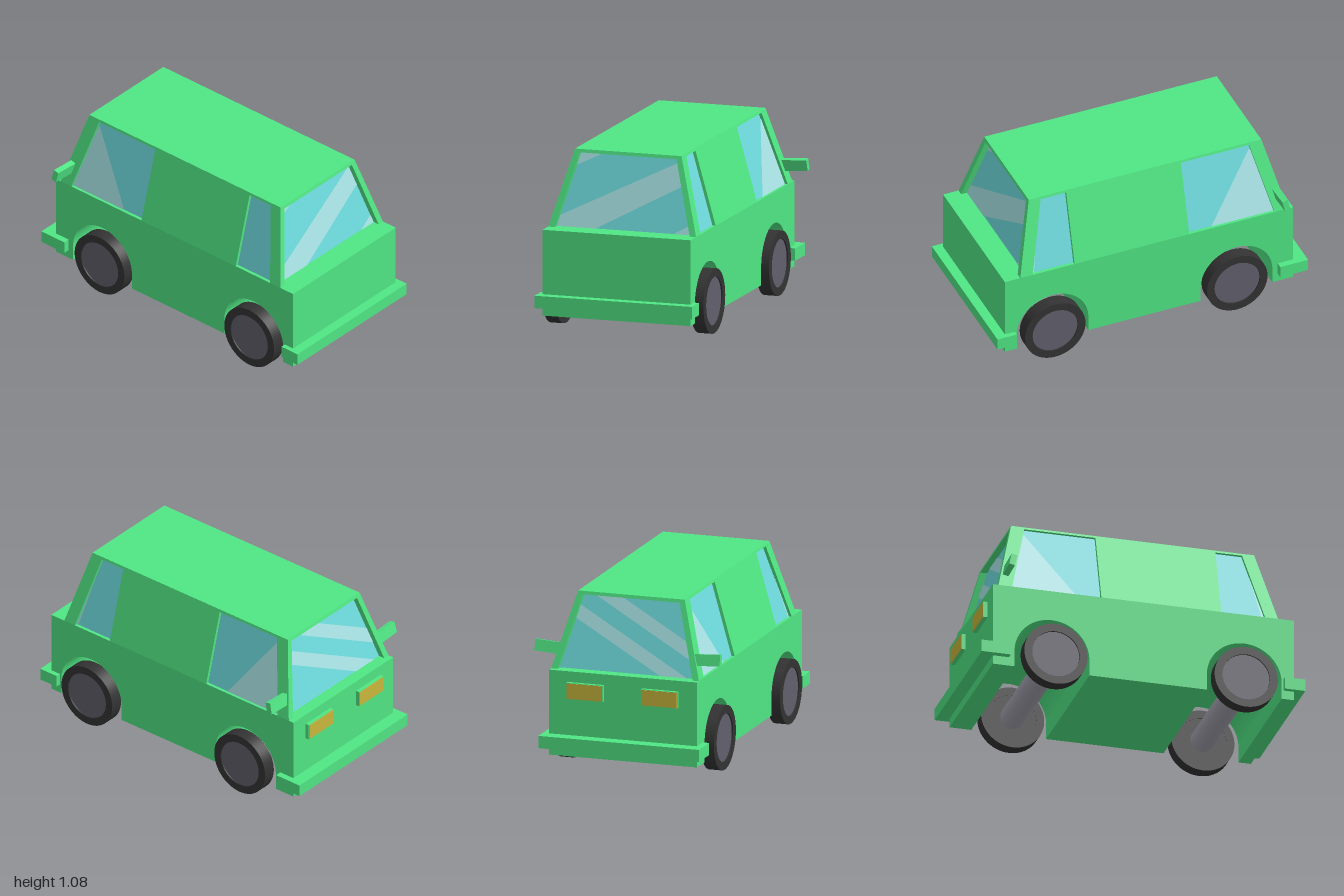
import * as THREE from 'three';

const material = (name, color) => {
  const m = new THREE.MeshStandardMaterial({ color });
  m.name = name;
  return m;
};

export function createModel() {
  const van = new THREE.Group();
  van.name = 'van';

  const green = material('body green', 0x50e684);
  const glass = material('window teal', 0x6edbde);
  const glare = material('window glare', 0xabe7e9);
  const rubber = material('tyre black', 0x333333);
  const hubGrey = material('hub grey', 0x625f6b);
  const axleGrey = material('axle grey', 0xa6a3b0);
  const amber = material('headlight amber', 0xcbb83c);
  glass.side = glare.side = THREE.DoubleSide;

  const add = (name, geometry, mat, x = 0, y = 0, z = 0, parent = van) => {
    const mesh = new THREE.Mesh(geometry, mat);
    mesh.name = name;
    mesh.position.set(x, y, z);
    parent.add(mesh);
    return mesh;
  };
  // Box given by its limits on each axis
  const box = (name, mat, [x0, x1], [y0, y1], [z0, z1]) =>
    add(name, new THREE.BoxGeometry(x1 - x0, y1 - y0, z1 - z0), mat,
      (x0 + x1) / 2, (y0 + y1) / 2, (z0 + z1) / 2);
  const polygon = (points) => new THREE.Shape(points.map(([x, y]) => new THREE.Vector2(x, y)));

  const WAIST = 0.62, ROOF = 1.08, HALF = 0.465, AXLE_Y = 0.195;
  const axles = [-0.542, 0.632];

  // Lower body: side profile with wheel arches cut right through
  const profile = new THREE.Shape();
  profile.moveTo(-0.92, 0.1);
  for (const x of [-0.555, 0.632]) {
    profile.lineTo(x - 0.231, 0.1);
    profile.lineTo(x - 0.231, 0.2);
    profile.absarc(x, 0.2, 0.231, Math.PI, 0, true);
    profile.lineTo(x + 0.231, 0.1);
  }
  profile.lineTo(0.94, 0.1);
  profile.lineTo(0.94, WAIST);
  profile.lineTo(-0.92, WAIST);
  add('lowerBody',
    new THREE.ExtrudeGeometry(profile, { depth: HALF * 2, bevelEnabled: false, curveSegments: 24 }),
    green, 0, 0, -HALF);

  // Leaning cabin wall: drawn flat, then sheared inwards with height
  function wall(name, angle, flip, base, lean, outline, panes, glares, depth) {
    const group = new THREE.Group();
    group.name = name;
    group.rotation.y = angle;
    van.add(group);
    const draw = (points) => polygon(points.map(([u, y]) => [u * flip, y]));
    const shear = (geometry, offset) => {
      const p = geometry.attributes.position;
      for (let i = 0; i < p.count; i++) {
        p.setZ(i, p.getZ(i) + base + offset - lean * (p.getY(i) - WAIST));
      }
      geometry.computeVertexNormals();
      return geometry;
    };
    const frame = new THREE.ExtrudeGeometry(draw(outline), { depth, bevelEnabled: false });
    add(name + 'Frame', shear(frame, -depth), green, 0, 0, 0, group);
    for (const pane of panes) {
      add('windowPane', shear(new THREE.ShapeGeometry(draw(pane)), 0.005 - depth), glass, 0, 0, 0, group);
    }
    for (const g of glares) {
      add('windowGlare', shear(new THREE.ShapeGeometry(draw(g)), 0.008 - depth), glare, 0, 0, 0, group);
    }
  }

  // Side walls: the windows are notches open at the waist line
  const frontWindow = [[-0.8, WAIST], [-0.69, 1.065], [-0.25, 1.065], [-0.25, WAIST]];
  const rearWindow = [[0.49, WAIST], [0.49, 1.065], [0.655, 1.065], [0.76, WAIST]];
  const sideOutline = [[-0.885, WAIST], ...frontWindow, ...rearWindow,
    [0.84, WAIST], [0.73, ROOF], [-0.77, ROOF]];
  const sideGlare = [
    [[-0.8, WAIST], [-0.4, WAIST], [-0.69, 1.03], [-0.7, 1.025]],
    [[0.76, WAIST], [0.745, WAIST], [0.685, 0.94]],
  ];
  for (const [name, angle, flip] of [['leftSide', 0, 1], ['rightSide', Math.PI, -1]]) {
    wall(name, angle, flip, HALF, 0.283, sideOutline, [frontWindow, rearWindow], sideGlare, 0.025);
  }

  // Windscreen and rear window with diagonal glare bands
  const screen = [[-0.425, WAIST], [-0.305, 1.06], [0.305, 1.06], [0.425, WAIST]];
  const endOutline = [[-HALF, WAIST], ...screen, [HALF, WAIST], [0.335, ROOF], [-0.335, ROOF]];
  const rearGlares = [
    [[-0.305, 1.06], [-0.327, 0.98], [-0.16, 1.06]],
    [[-0.425, WAIST], [-0.18, WAIST], [0.348, 0.9], [0.311, 1.035], [-0.407, 0.685]],
    [[0.31, WAIST], [0.425, WAIST], [0.409, 0.675]],
  ];
  const frontGlares = [
    [[-0.398, 0.719], [0.245, 1.06], [0.075, 1.06], [-0.369, 0.824]],
    [[-0.207, WAIST], [0.345, 0.913], [0.324, 0.992], [-0.377, WAIST]],
  ];
  wall('rearEnd', Math.PI / 2, 1, 0.84, 0.239, endOutline, [screen], rearGlares, 0.045);
  wall('frontEnd', -Math.PI / 2, -1, 0.885, 0.25, endOutline, [screen], frontGlares, 0.045);

  box('roof', green, [-0.77, 0.73], [ROOF - 0.012, ROOF], [-0.335, 0.335]);

  // Bumpers
  box('frontBumper', green, [-1, -0.82], [0.155, 0.23], [-0.505, 0.505]);
  box('rearBumper', green, [0.875, 1], [0.155, 0.23], [-0.495, 0.495]);

  // Wheels and axles
  const ring = new THREE.Shape().absarc(0, 0, 0.195, 0, Math.PI * 2);
  ring.holes.push(new THREE.Path().absarc(0, 0, 0.146, 0, Math.PI * 2));
  const tyre = new THREE.ExtrudeGeometry(ring, { depth: 0.082, bevelEnabled: false, curveSegments: 40 });
  const disc = (r, h) => new THREE.CylinderGeometry(r, r, h, 40).rotateX(Math.PI / 2);
  const hub = disc(0.147, 0.03), backing = disc(0.147, 0.04), axle = disc(0.075, 0.9);
  for (const x of axles) {
    add('axle', axle, axleGrey, x, AXLE_Y, 0);
    for (const side of [-1, 1]) {
      const wheel = new THREE.Group();
      wheel.name = 'wheel';
      wheel.position.set(x, AXLE_Y, side * 0.466);
      van.add(wheel);
      add('tyre', tyre, rubber, 0, 0, -0.041, wheel);
      add('hub', hub, hubGrey, 0, 0, side * 0.017, wheel);
      add('wheelBack', backing, rubber, 0, 0, side * -0.019, wheel);
    }
  }

  // Headlights and door mirrors
  for (const side of [-1, 1]) {
    const span = side > 0 ? [0.12, 0.35] : [-0.35, -0.12];
    box('headlightHousing', green, [-0.943, -0.915], [0.455, 0.555], span);
    box('headlightLens', amber, [-0.947, -0.942], [0.458, 0.552], [span[0] + 0.003, span[1] - 0.003]);

    const mirror = add('doorMirror', new THREE.BoxGeometry(0.036, 0.07, 0.161), green,
      -0.827, 0.737, side * 0.502);
    mirror.rotation.set(-side * 0.06, 0, -0.22);
  }

  return van;
}
